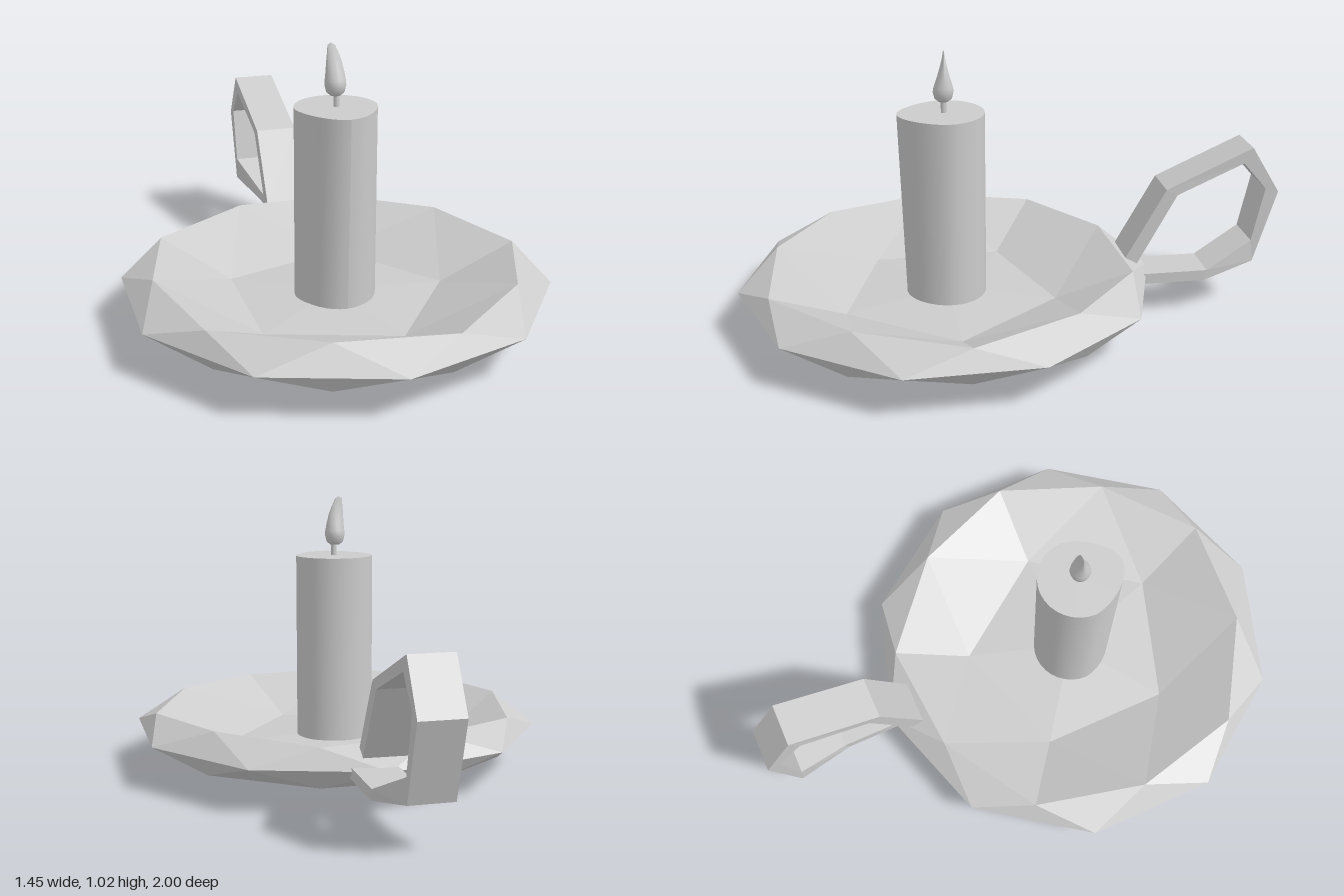
import * as THREE from 'three';

const CZ = 0.238; // dish centre in z
const CANDLE_Z = 0.241;
const flatMat = new THREE.MeshStandardMaterial({ color: 0xcccccc, flatShading: true, side: THREE.DoubleSide });
const smoothMat = new THREE.MeshStandardMaterial({ color: 0xcccccc });

function addMesh(group, name, geometry, material) {
  const mesh = new THREE.Mesh(geometry, material);
  mesh.name = name;
  group.add(mesh);
  return mesh;
}

// Flat-faced geometry from triangles given as point triples
function fromTriangles(tris) {
  const g = new THREE.BufferGeometry().setFromPoints(tris.flat());
  g.computeVertexNormals();
  return g;
}

function moveVertices(geometry, rule) {
  const p = geometry.attributes.position;
  const v = new THREE.Vector3();
  for (let i = 0; i < p.count; i++) {
    rule(v.fromBufferAttribute(p, i));
    p.setXYZ(i, v.x, v.y, v.z);
  }
  geometry.computeVertexNormals();
  return geometry;
}

// Squashed faceted ball whose top is pushed in to form a bowl
function dishGeometry() {
  const R = 0.762, H = 0.154, Y = 0.156;
  const tris = [];
  const half = (sign, shift, innerY, poleY) => {
    const at = (k, r, y) => {
      const a = (k + shift) * Math.PI / 5;
      return new THREE.Vector3(R * r * Math.cos(a), y, CZ + R * r * Math.sin(a));
    };
    const rim = k => (k % 2 === 0 ? at(k, 0.894, Y + sign * H * 0.447) : at(k, 0.851, Y + sign * H * 0.526));
    const equator = k => at(k + 0.5, 1, Y);
    const inner = j => at(2 * j, 0.526, innerY);
    const pole = new THREE.Vector3(0, poleY, CZ);
    const tri = (a, b, c) => tris.push(sign > 0 ? [a, b, c] : [a, c, b]);
    for (let k = 0; k < 10; k++) {
      tri(equator(k), rim(k), rim(k + 1));
      tri(rim(k), equator(k), equator(k - 1));
    }
    for (let j = 0; j < 5; j++) {
      tri(inner(j), rim(2 * j + 1), rim(2 * j));
      tri(inner(j), rim(2 * j), rim(2 * j - 1));
      tri(rim(2 * j + 1), inner(j), inner(j + 1));
      tri(pole, inner(j + 1), inner(j));
    }
  };
  half(1, 0, 0.1, 0.12);
  half(-1, 1, Y - H * 0.851, 0);
  return fromTriangles(tris);
}

// Angular strap: each section is [outer z, outer y, inner z, inner y, centre x]
function handleGeometry() {
  const W = 0.078;
  const sections = [
    [-0.415, 0.215, -0.46, 0.19, 0],
    [-0.565, 0.478, -0.607, 0.455, -0.002],
    [-0.892, 0.618, -0.86, 0.56, -0.012],
    [-1, 0.44, -0.95, 0.455, -0.012],
    [-0.915, 0.165, -0.905, 0.25, -0.01],
    [-0.71, 0.125, -0.72, 0.165, 0.044],
    [-0.46, 0.128, -0.46, 0.168, 0.044],
  ];
  const rings = sections.map(([oz, oy, iz, iy, x]) => [
    new THREE.Vector3(x - W, oy, oz), new THREE.Vector3(x + W, oy, oz),
    new THREE.Vector3(x + W, iy, iz), new THREE.Vector3(x - W, iy, iz),
  ]);
  const tris = [];
  const quad = (a, b, c, d) => tris.push([a, b, c], [a, c, d]);
  for (let i = 0; i < rings.length - 1; i++) {
    const a = rings[i], b = rings[i + 1];
    for (let k = 0; k < 4; k++) {
      const n = (k + 1) % 4;
      quad(a[k], a[n], b[n], b[k]);
    }
  }
  const last = rings[rings.length - 1];
  quad(rings[0][3], rings[0][2], rings[0][1], rings[0][0]);
  quad(last[0], last[1], last[2], last[3]);
  return fromTriangles(tris);
}

export function createModel() {
  const group = new THREE.Group();
  group.name = 'candleHolder';

  addMesh(group, 'dish', dishGeometry(), flatMat);
  addMesh(group, 'handle', handleGeometry(), flatMat);

  // Candle: egg-shaped in plan, narrowing and swelling towards the front
  const candle = moveVertices(new THREE.CylinderGeometry(0.145, 0.145, 0.7, 32), v => {
    const t = (v.y + 0.35) / 0.7;
    const front = Math.max(0, v.z / 0.145);
    v.x *= 1 - 0.12 * front;
    v.z *= 1 + (0.01 + 0.14 * t) * front * front;
  });
  addMesh(group, 'candle', candle, smoothMat).position.set(0, 0.447, CANDLE_Z);

  const wick = new THREE.CylinderGeometry(0.01, 0.01, 0.08, 10);
  addMesh(group, 'wick', wick, smoothMat).position.set(0, 0.825, CANDLE_Z);

  // Flame: teardrop that thins in z and leans to one side at the tip
  const profile = [[0, 0.835], [0.018, 0.837], [0.031, 0.848], [0.037, 0.872], [0.036, 0.89],
    [0.032, 0.92], [0.028, 0.95], [0.021, 0.98], [0.013, 1.01], [0, 1.018]];
  const flame = moveVertices(
    new THREE.LatheGeometry(profile.map(p => new THREE.Vector2(...p)), 20), v => {
      const t = THREE.MathUtils.clamp((v.y - 0.88) / 0.138, 0, 1);
      v.z = v.z * (1 - 0.92 * t) - 0.006 * t;
      v.x -= 0.004 + 0.015 * t * t;
    });
  addMesh(group, 'flame', flame, smoothMat).position.z = CANDLE_Z;

  return group;
}
